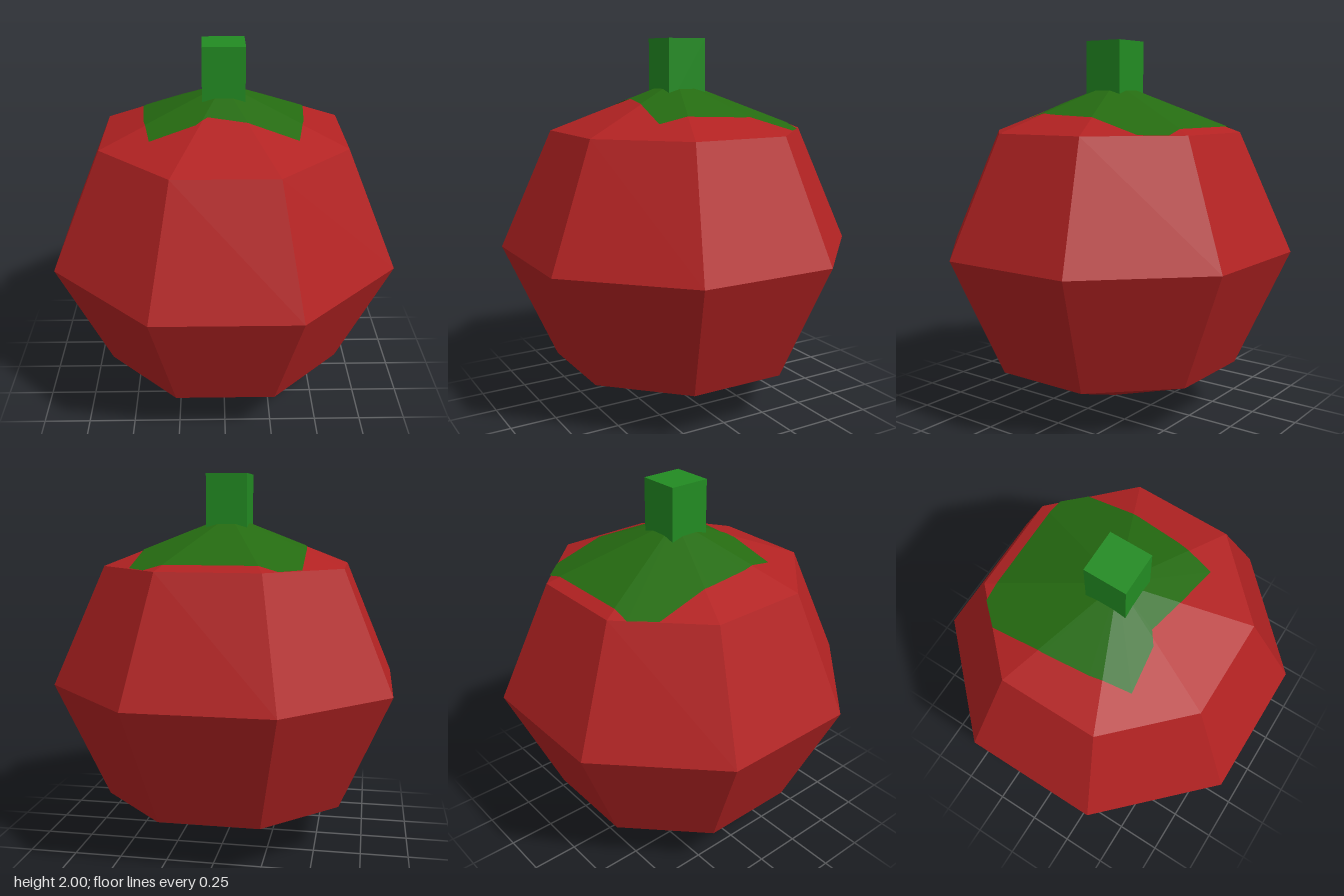
import * as THREE from 'three';

const SIDES = 8;
const STEP = (Math.PI * 2) / SIDES;
const CORNER = 1 / Math.cos(STEP / 2); // corner radius per unit of flat-side distance
const APEX_Y = 1.78, SHOULDER_Y = 1.52, SHOULDER = 0.628;

// Height of the eight-sided top cap above a point (x, z)
function capHeight(x, z) {
  const angle = Math.atan2(x, z);
  const offset = angle - Math.round(angle / STEP) * STEP;
  const distance = Math.hypot(x, z) * Math.cos(offset);
  return APEX_Y - ((APEX_Y - SHOULDER_Y) * distance) / SHOULDER;
}

// Adds a point wherever the outline crosses a ridge of the cap, so each piece lies flat
function splitAtRidges(outline) {
  const result = [];
  outline.forEach(([ax, az], i) => {
    const [bx, bz] = outline[(i + 1) % outline.length];
    result.push([ax, az]);
    const a = Math.atan2(ax, az);
    let b = Math.atan2(bx, bz);
    if (b < a) b += Math.PI * 2;
    const first = Math.ceil(a / STEP - 0.5);
    for (let k = first; (k + 0.5) * STEP < b; k++) {
      const s = Math.sin((k + 0.5) * STEP), c = Math.cos((k + 0.5) * STEP);
      const da = ax * c - az * s, db = bx * c - bz * s;
      const t = da / (da - db);
      if (t > 0.001 && t < 0.999) result.push([ax + (bx - ax) * t, az + (bz - az) * t]);
    }
  });
  return result;
}

// Thin leaf layer draped over the cap as a fan around the apex
function leafGeometry() {
  const outline = splitAtRidges([
    [-0.08, 0.24], [0.12, 0.28], [0.37, 0.31], [0.41, 0.1], [0.432, -0.15],
    [0.433, -0.455], [0.33, -0.565], [-0.33, -0.565], [-0.433, -0.455],
    [-0.43, -0.15], [-0.41, 0.1], [-0.37, 0.31], [-0.14, 0.285],
  ]);
  const lift = 0.004;
  const positions = [];
  outline.forEach(([ax, az], i) => {
    const [bx, bz] = outline[(i + 1) % outline.length];
    positions.push(0, APEX_Y + lift, 0);
    positions.push(ax, capHeight(ax, az) + lift, az);
    positions.push(bx, capHeight(bx, bz) + lift, bz);
  });
  const geometry = new THREE.BufferGeometry();
  geometry.setAttribute('position', new THREE.Float32BufferAttribute(positions, 3));
  geometry.computeVertexNormals();
  return geometry;
}

export function createModel() {
  const model = new THREE.Group();
  model.name = 'fruit';

  const material = (name, color, options = {}) => {
    const m = new THREE.MeshStandardMaterial({ color, flatShading: true, ...options });
    m.name = name;
    return m;
  };
  const add = (name, geometry, mat) => {
    const mesh = new THREE.Mesh(geometry, mat);
    mesh.name = name;
    model.add(mesh);
    return mesh;
  };

  // Faceted round body
  const profile = [[0, 0.005], [SHOULDER, 0.264], [0.888, 0.892], [SHOULDER, SHOULDER_Y], [0, APEX_Y]]
    .map(([r, y]) => new THREE.Vector2(r * CORNER, y));
  add('body', new THREE.LatheGeometry(profile, SIDES, STEP / 2), material('red skin', 0xb22222));

  // Leaf patch on the cap
  add('leaf', leafGeometry(), material('leaf green', 0x256b11, { side: THREE.DoubleSide }));

  // Square stem, sunk into the cap
  const stem = add('stem', new THREE.BoxGeometry(0.22, 0.35, 0.22), material('stem green', 0x228b22));
  stem.position.y = 1.825;

  return model;
}
